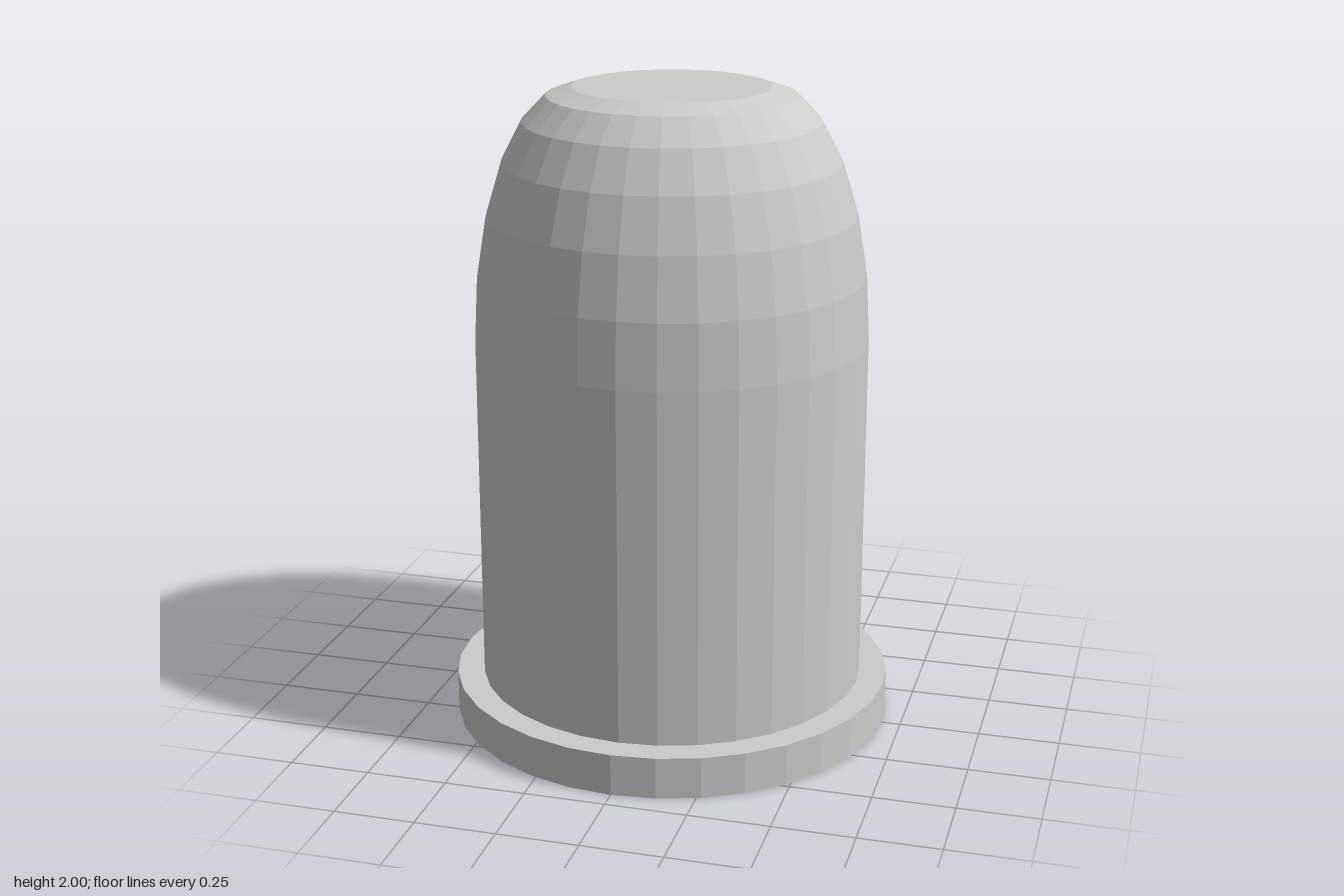
import * as THREE from 'three';

const SIDES = 32;

export function createModel() {
  const group = new THREE.Group();
  const material = new THREE.MeshStandardMaterial({ color: 0xcccccc, flatShading: true });

  const addPart = (name, geometry, y = 0) => {
    const mesh = new THREE.Mesh(geometry, material);
    mesh.name = name;
    mesh.position.y = y;
    group.add(mesh);
  };

  // Flat round flange at the foot
  const flangeHeight = 0.13;
  addPart('baseFlange', new THREE.CylinderGeometry(0.69, 0.69, flangeHeight, SIDES), flangeHeight / 2);

  // Straight wall, then a quarter-ellipse shoulder up to a flat top
  const radius = 0.605, topRadius = 0.3, shoulderY = 1.23, topY = 2, steps = 6;
  const profile = [new THREE.Vector2(radius, flangeHeight)];
  for (let i = 0; i <= steps; i++) {
    const a = (i / steps) * Math.PI / 2;
    profile.push(new THREE.Vector2(
      topRadius + (radius - topRadius) * Math.cos(a),
      shoulderY + (topY - shoulderY) * Math.sin(a)
    ));
  }
  profile.push(new THREE.Vector2(0, topY));
  addPart('domedBody', new THREE.LatheGeometry(profile, SIDES));

  return group;
}
